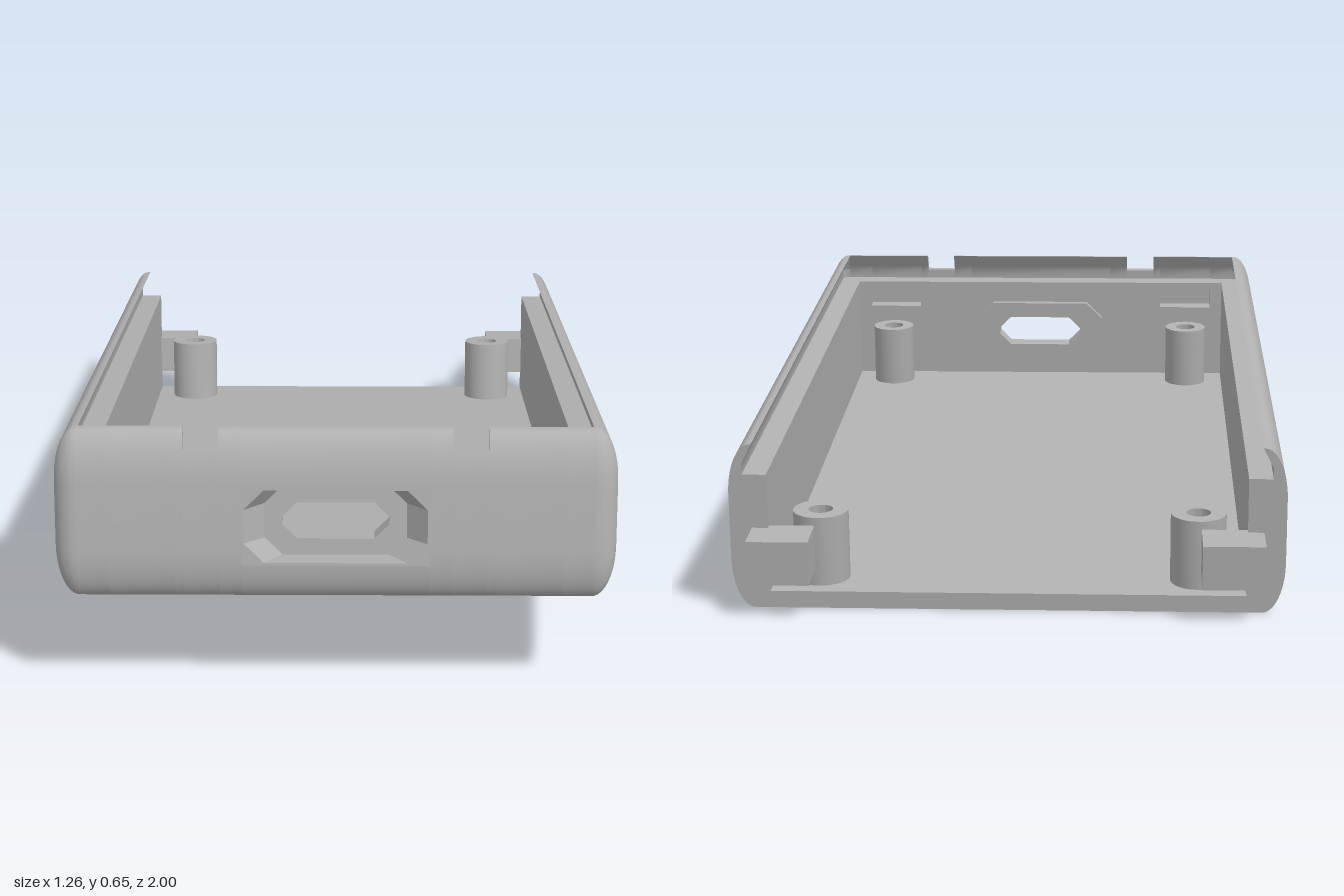
import * as THREE from 'three';
import { toCreasedNormals } from 'three/addons/utils/BufferGeometryUtils.js';

const HALF = 0.578, LEN = 1.861, H = 0.392, BULGE = 0.052, ARC = 0.12;
const INNER = -0.035, LEDGE = 0.32, FLOOR = 0.04;

export function createModel() {
  const grey = new THREE.MeshStandardMaterial({ color: 0xb0b0b0 });
  grey.name = 'grey plastic';
  const model = new THREE.Group();
  model.name = 'enclosureHalf';
  const tray = new THREE.Group();
  tray.name = 'tiltedTray';
  tray.rotation.x = -THREE.MathUtils.degToRad(8);
  tray.position.z = -0.875;
  model.add(tray);

  const add = (name, geo, x = 0, y = 0, z = 0) => {
    const mesh = new THREE.Mesh(geo, grey);
    mesh.name = name;
    mesh.position.set(x, y, z);
    tray.add(mesh);
    return mesh;
  };

  // Outer wall: how far it bulges at height v
  const bulge = (v) => {
    const t = Math.max(0, ARC - Math.min(v, H - v)) / ARC;
    return BULGE * Math.sqrt(Math.max(0, 1 - t * t));
  };
  const heights = [];
  for (let i = 0; i <= 10; i++) heights.push(ARC * (1 - Math.cos((i / 10) * Math.PI / 2)));
  heights.push(...heights.map((v) => H - v).reverse());
  const outer = (lo, hi) => [lo, ...heights.filter((v) => v > lo + 1e-4 && v < hi - 1e-4), hi]
    .map((v) => [bulge(v), v]);
  const lip = [[-0.004, H], [0.012, 0.36], [0.02, 0.345], [0.02, LEDGE]];

  // Wall section between two heights, with an optional catch slot inside
  const wallGeo = (length, { lo = 0, hi = H, slot = false } = {}) => {
    const pts = outer(lo, hi);
    pts.push(...lip.filter((p) => p[1] <= hi));
    pts.push([INNER, Math.min(hi, LEDGE)]);
    if (slot) pts.push([INNER, 0.3], [0.01, 0.3], [0.01, 0.245], [INNER, 0.245]);
    pts.push([INNER, lo]);
    const shape = new THREE.Shape(pts.map((p) => new THREE.Vector2(...p)));
    const geo = new THREE.ExtrudeGeometry(shape, { depth: length, bevelEnabled: false });
    return toCreasedNormals(geo, 0.5);
  };

  // Floor
  const fw = HALF + INNER, fl = LEN + INNER;
  add('floor', new THREE.BoxGeometry(fw * 2, FLOOR, fl), 0, FLOOR / 2, fl / 2);

  // Side walls
  add('leftWall', wallGeo(LEN), HALF, 0, 0);
  add('rightWall', wallGeo(LEN), -HALF, 0, LEN).rotation.y = Math.PI;

  // Rounded front corners
  const cornerPts = [...outer(0, H), ...lip.slice(1), [0, LEDGE]]
    .map(([d, v]) => new THREE.Vector2(Math.max(0, d), v));
  for (const s of [1, -1]) {
    const geo = new THREE.LatheGeometry(cornerPts, 10, s > 0 ? 0 : -Math.PI / 2, Math.PI / 2);
    add('frontCorner', toCreasedNormals(geo, 0.5), s * HALF, 0, LEN);
  }

  // Front wall, in segments with notches and catch slots
  const front = (name, x0, x1, opts) => {
    add(name, wallGeo(x1 - x0, opts), x1, 0, LEN).rotation.y = -Math.PI / 2;
  };
  const segments = [
    ['frontWall', 0.51, HALF, {}],
    ['catchSlot', 0.36, 0.51, { slot: true }],
    ['frontWall', 0.34, 0.36, {}],
    ['rimNotch', 0.26, 0.34, { hi: 0.345 }],
    ['frontWall', 0.21, 0.26, {}],
  ];
  for (const [name, a, b, opts] of segments) {
    front(name, a, b, opts);
    front(name, -b, -a, opts);
  }
  const portY = 0.175, portH = 0.09;
  front('wallAbovePort', -0.21, 0.21, { lo: portY + portH });
  front('wallBelowPort', -0.21, 0.21, { hi: portY - portH });

  // Port: tapered pocket, through hole and inner boss as one loft
  const ring = (w, h, c, z) => [
    [w, -h + c], [w, h - c], [w - c, h], [-w + c, h],
    [-w, h - c], [-w, -h + c], [-w + c, -h], [w - c, -h],
  ].map(([x, y]) => [x, y, z]);
  const rings = [
    ring(0.21, portH, 0, BULGE),
    ring(0.205, 0.084, 0.045, BULGE),
    ring(0.16, 0.08, 0.04, 0),
    ring(0.12, 0.042, 0.033, 0),
    ring(0.12, 0.042, 0.033, INNER - 0.02),
    ring(0.185, 0.085, 0.045, INNER - 0.02),
    ring(0.185, 0.085, 0.045, INNER),
    ring(0.21, portH, 0, INNER),
  ];
  const pos = [];
  for (let r = 0; r < rings.length - 1; r++) {
    for (let i = 0; i < 8; i++) {
      const j = (i + 1) % 8, A = rings[r], B = rings[r + 1];
      pos.push(...A[i], ...A[j], ...B[j], ...A[i], ...B[j], ...B[i]);
    }
  }
  const portGeo = new THREE.BufferGeometry();
  portGeo.setAttribute('position', new THREE.Float32BufferAttribute(pos, 3));
  portGeo.computeVertexNormals();
  add('port', portGeo, 0, portY, LEN);

  // Screw posts with blind holes
  const post = (r) => toCreasedNormals(new THREE.LatheGeometry(
    [[r, 0], [r, 0.165], [0.028, 0.165], [0.028, 0.05], [0, 0.05]]
      .map((p) => new THREE.Vector2(...p)), 32), 0.5);

  // Rear tab with a small hole in its underside
  const tabShape = new THREE.Shape([[-0.07, -0.0555], [0.07, -0.0555], [0.07, 0.0555], [-0.07, 0.0555]]
    .map((p) => new THREE.Vector2(...p)));
  const hole = new THREE.Path();
  hole.absarc(0, 0, 0.012, 0, Math.PI * 2, true);
  tabShape.holes.push(hole);
  const tabBase = new THREE.ExtrudeGeometry(tabShape, { depth: 0.05, bevelEnabled: false, curveSegments: 16 });
  tabBase.rotateX(-Math.PI / 2);

  for (const s of [1, -1]) {
    add('rearPost', post(0.064), s * 0.435, FLOOR, 0.099);
    add('frontPost', post(0.058), s * 0.435, FLOOR, 1.75);
    add('rearTabBase', tabBase, s * 0.51, 0.09, -0.0385);
    add('rearTabTop', new THREE.BoxGeometry(0.14, 0.053, 0.111), s * 0.51, 0.1665, -0.0385);
  }
  return model;
}
